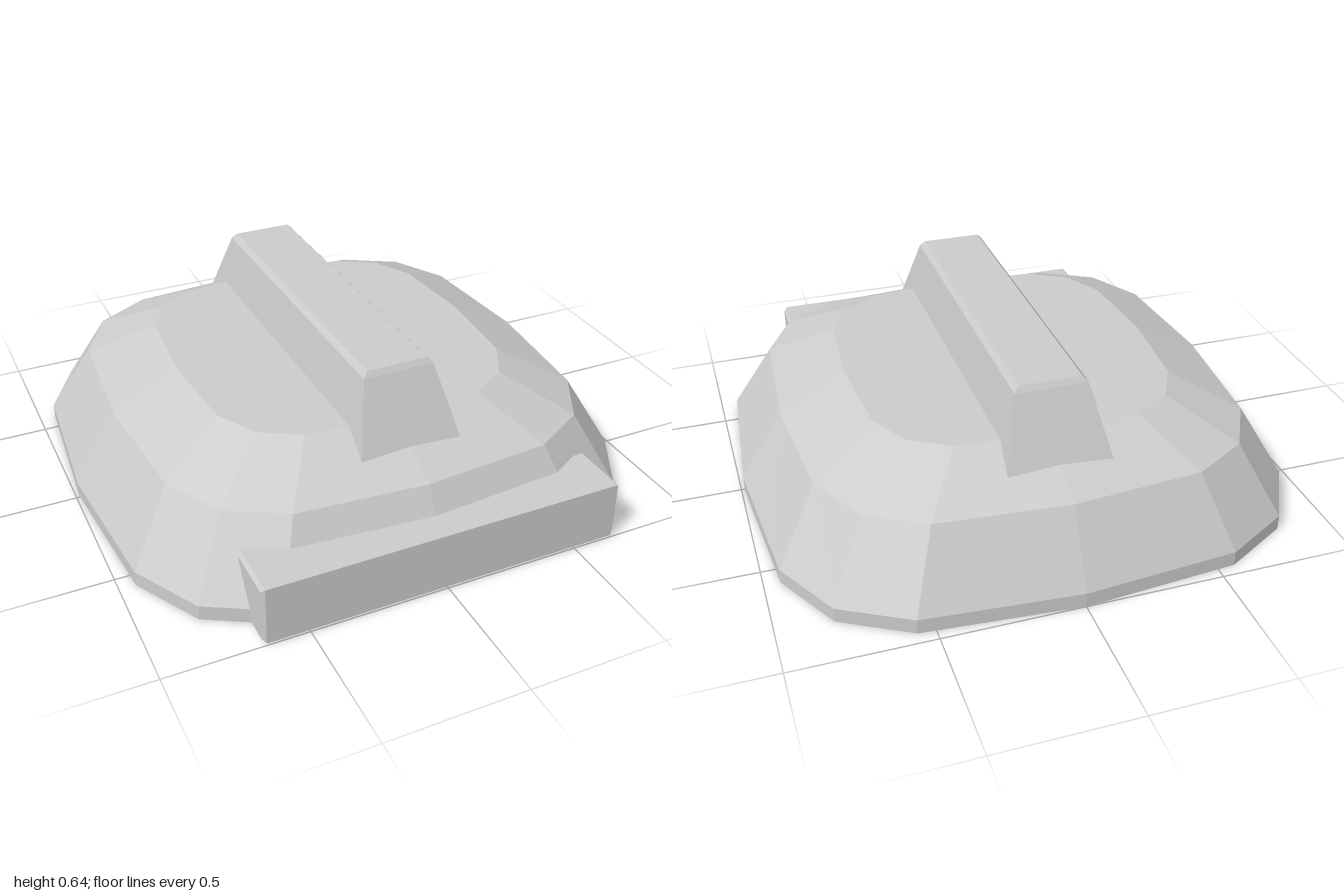
import * as THREE from 'three';

const grey = new THREE.MeshStandardMaterial({ color: 0xcccccc, flatShading: true });
const greyThin = new THREE.MeshStandardMaterial({ color: 0xcccccc, flatShading: true, side: THREE.DoubleSide });

// Stack scaled copies of an outline ([x, z] points running from +x to +z); levels are [y, scaleX, scaleZ].
function loft(outline, levels, closeBottom) {
  const n = outline.length;
  const at = (k, j) => {
    const [y, sx, sz] = levels[k];
    const [x, z] = outline[j % n];
    return [x * sx, y, z * sz];
  };
  const pos = [];
  const tri = (...pts) => pts.forEach((p) => pos.push(...p));
  const top = levels.length - 1;
  for (let j = 0; j < n; j++) {
    for (let k = 0; k < top; k++) {
      tri(at(k, j), at(k + 1, j), at(k + 1, j + 1));
      tri(at(k, j), at(k + 1, j + 1), at(k, j + 1));
    }
    tri([0, levels[top][0], 0], at(top, j + 1), at(top, j));
    if (closeBottom) tri([0, levels[0][0], 0], at(0, j), at(0, j + 1));
  }
  const geo = new THREE.BufferGeometry();
  geo.setAttribute('position', new THREE.Float32BufferAttribute(pos, 3));
  geo.computeVertexNormals();
  return geo;
}

function addMesh(group, name, geometry, material, x, y, z) {
  const mesh = new THREE.Mesh(geometry, material);
  mesh.name = name;
  mesh.position.set(x, y, z);
  group.add(mesh);
  return mesh;
}

export function createModel() {
  const group = new THREE.Group();
  group.name = 'lid';

  // Hollow dome: rounded-square outline, mirrored from one quadrant
  const quadrant = [[0.988, 0], [0.942, 0.565], [0.805, 0.81], [0.563, 0.945]];
  const half = [...quadrant, [0, 0.99], ...quadrant.slice(1).reverse().map(([x, z]) => [-x, z])];
  const outline = [...half, ...half.map(([x, z]) => [-x, -z])];
  const dome = loft(outline, [[0, 1, 1], [0.055, 1, 1], [0.32, 0.84, 0.86], [0.442, 0.588, 0.615]], false);
  addMesh(group, 'domeShell', dome, greyThin, 0, 0, -0.01);

  // Tapered grip, reaching through the dome into the hollow
  const square = [[1, -1], [1, 1], [-1, 1], [-1, -1]];
  const grip = loft(square, [[0.24, 0.219, 0.782], [0.625, 0.13, 0.613], [0.645, 0.112, 0.6]], true);
  addMesh(group, 'gripHandle', grip, grey, 0, 0, -0.01);

  // Front plate: side profile (z, y) extruded along x with small end bevels
  const b = 0.012;
  const profile = [[0.893, 0.02], [0.988, 0.02], [0.988, 0.212], [0.802, 0.212], [0.802, 0.2], [0.893, 0.06]];
  const shape = new THREE.Shape(profile.map(([z, y]) => new THREE.Vector2(z, y)));
  const length = 1.326;
  const plate = new THREE.ExtrudeGeometry(shape, {
    depth: length - 2 * b, bevelEnabled: true, bevelSize: b, bevelThickness: b, bevelSegments: 1,
  });
  plate.translate(0, 0, -(length - 2 * b) / 2);
  plate.rotateY(-Math.PI / 2);
  addMesh(group, 'frontPlate', plate, grey, 0, 0, 0);

  return group;
}
